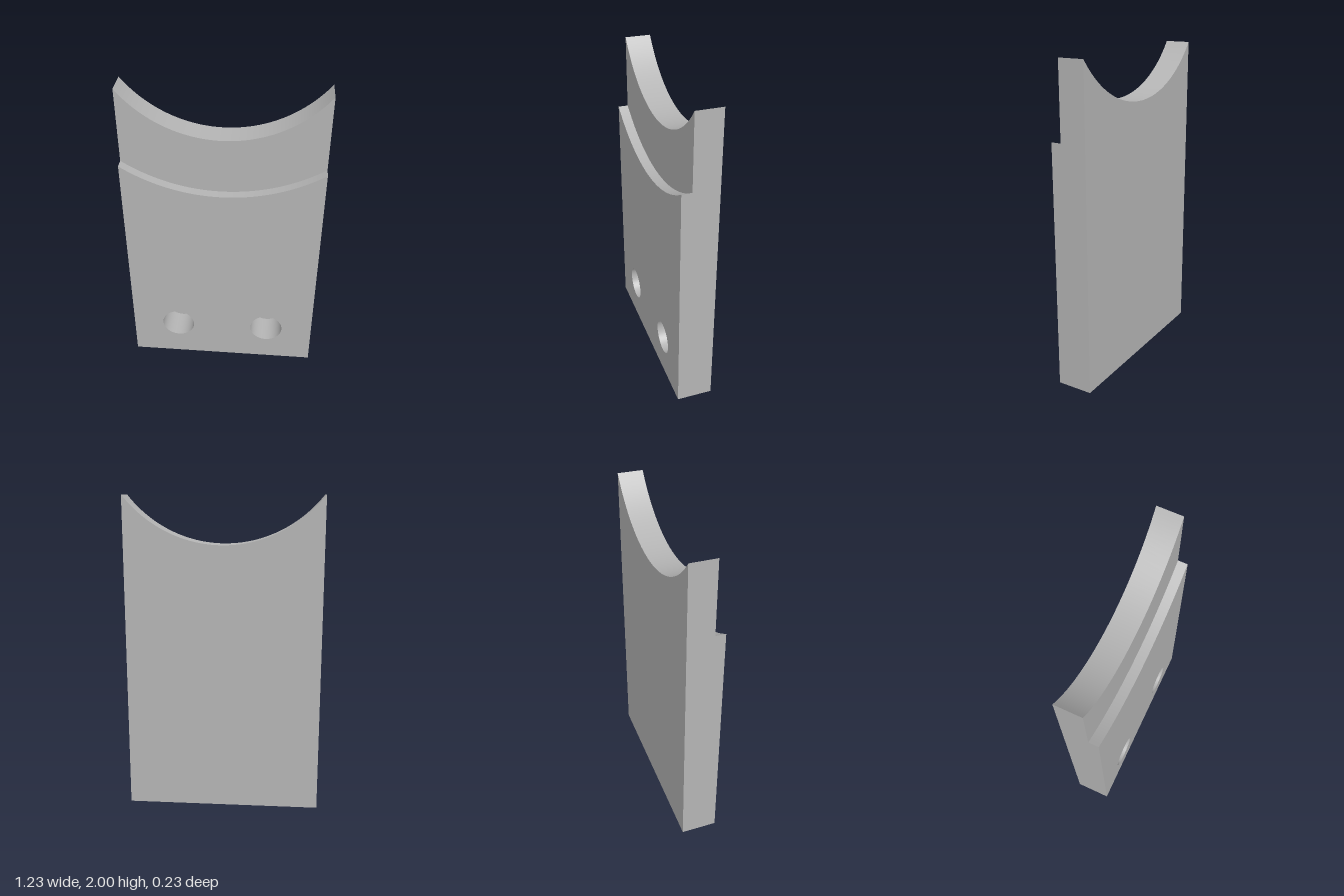
import * as THREE from 'three';

const W = 0.615, BACK = -0.113, STEP = 0.05, FRONT = 0.113;
const TOP = 2, LEDGE = 1.535;
const HOLE_R = 0.108, HOLE_X = 0.305, HOLE_Y = 0.27, HOLE_FLOOR = -0.087;

// Concave arc from the right edge (+x) to the left edge, dipping by sag
function dip(y, sag, n = 48) {
  const r = (W * W + sag * sag) / (2 * sag);
  const a = Math.asin(W / r);
  return Array.from({ length: n + 1 }, (_, i) => {
    const t = a * (1 - (2 * i) / n);
    return new THREE.Vector2(r * Math.sin(t), y - sag + r * (1 - Math.cos(t)));
  });
}

// Clockwise circle, so that walls built along it face inwards
function circle(cx, cy, r, n = 48) {
  return Array.from({ length: n + 1 }, (_, i) => {
    const t = (-2 * Math.PI * i) / n;
    return new THREE.Vector2(cx + r * Math.cos(t), cy + r * Math.sin(t));
  });
}

// Strip standing on a path, smooth along it; faces the right of the path
function wall(path, z0, z1) {
  const pos = [], nor = [], idx = [];
  const last = path.length - 1;
  const closed = path[0].distanceTo(path[last]) < 1e-6;
  path.forEach((p, i) => {
    const a = path[i > 0 ? i - 1 : closed ? last - 1 : 0];
    const b = path[i < last ? i + 1 : closed ? 1 : last];
    const d = b.clone().sub(a).normalize();
    pos.push(p.x, p.y, z0, p.x, p.y, z1);
    nor.push(d.y, -d.x, 0, d.y, -d.x, 0);
    if (i < last) {
      const k = 2 * i;
      idx.push(k, k + 2, k + 3, k, k + 3, k + 1);
    }
  });
  const g = new THREE.BufferGeometry();
  g.setAttribute('position', new THREE.Float32BufferAttribute(pos, 3));
  g.setAttribute('normal', new THREE.Float32BufferAttribute(nor, 3));
  g.setIndex(idx);
  return g;
}

const face = (points, z, holes = []) => {
  const shape = new THREE.Shape(points);
  shape.holes = holes.map((h) => new THREE.Path(h));
  return new THREE.ShapeGeometry(shape).translate(0, 0, z);
};

export function createModel() {
  const model = new THREE.Group();
  model.name = 'notchedPlate';
  const grey = new THREE.MeshStandardMaterial({ color: 0xb4b4b4 });
  grey.name = 'grey';
  const add = (name, geometry) => {
    const mesh = new THREE.Mesh(geometry, grey);
    mesh.name = name;
    model.add(mesh);
  };
  const v = (x, y) => new THREE.Vector2(x, y);

  const topArc = dip(TOP, 0.3);
  const ledgeArc = dip(LEDGE, 0.185);
  const holes = [-HOLE_X, HOLE_X].map((x) => circle(x, HOLE_Y, HOLE_R));
  const foot = [v(-W, 0), v(W, 0)];

  // Flat faces
  add('frontFace', face([...foot, ...ledgeArc], FRONT, holes.map((h) => h.slice(0, -1))));
  add('recessedFace', face([...ledgeArc.slice().reverse(), ...topArc], STEP));
  // Mirrored outline turned round to face backwards
  add('backFace', face([...foot, ...topArc], 0).rotateY(Math.PI).translate(0, 0, BACK));

  // Curved top and the step below it
  add('topCradle', wall(topArc, BACK, STEP));
  add('stepLedge', wall(ledgeArc, STEP, FRONT));

  // Bottom and sides
  add('bottom', wall(foot, BACK, FRONT));
  add('leftSideLower', wall([v(W, 0), v(W, LEDGE)], BACK, FRONT));
  add('leftSideUpper', wall([v(W, LEDGE), v(W, TOP)], BACK, STEP));
  add('rightSideLower', wall([v(-W, LEDGE), v(-W, 0)], BACK, FRONT));
  add('rightSideUpper', wall([v(-W, TOP), v(-W, LEDGE)], BACK, STEP));

  // Blind holes
  holes.forEach((h, i) => {
    const side = i ? 'left' : 'right';
    add(side + 'HoleWall', wall(h, HOLE_FLOOR, FRONT));
    add(side + 'HoleFloor', face(h.slice(0, -1), HOLE_FLOOR));
  });
  return model;
}
